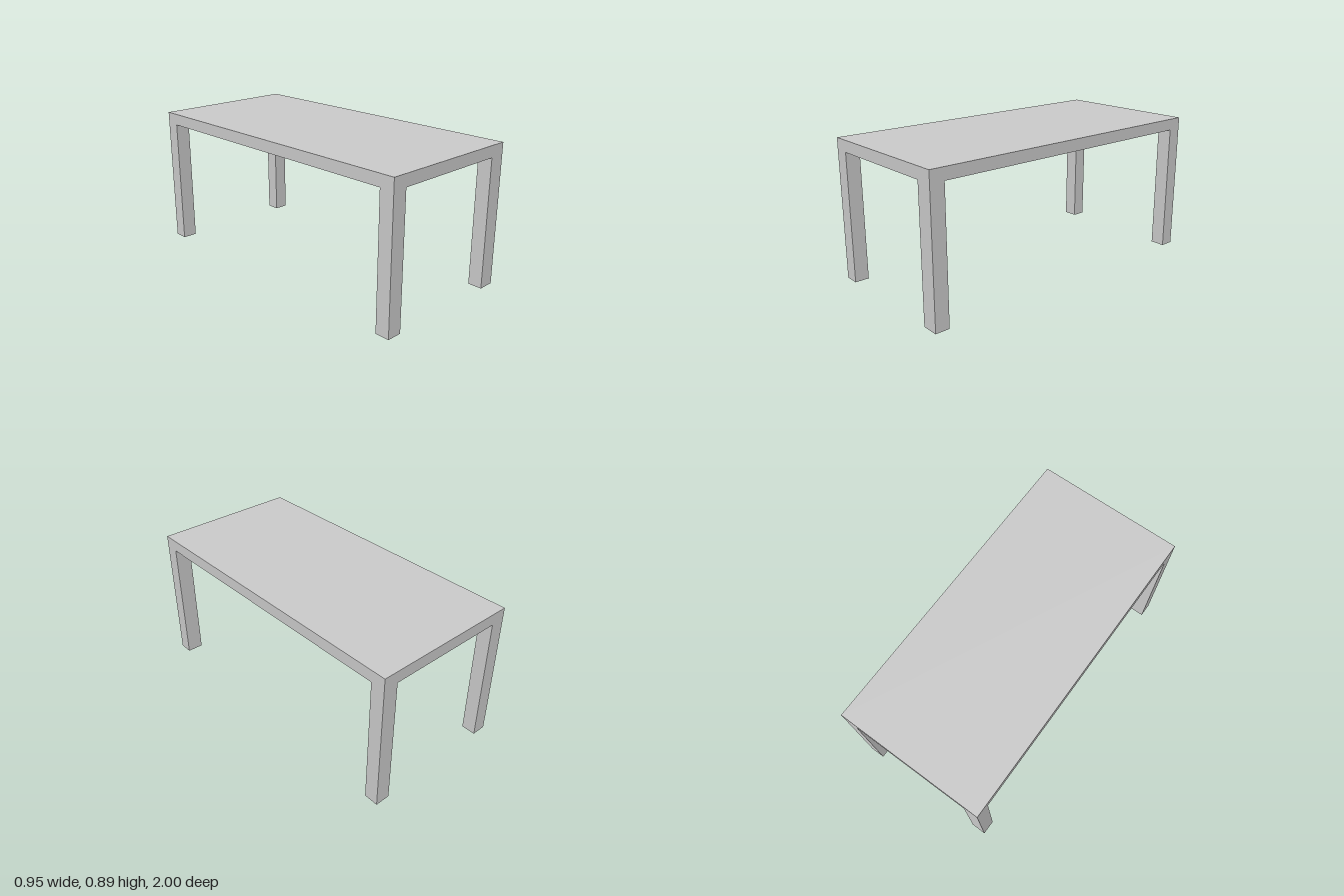
import * as THREE from 'three';

const HALF_W = 0.475, HALF_L = 1, HEIGHT = 0.89, TOP_Y = 0.817;
const LEG_DEPTH = 0.09;

export function createModel() {
  const table = new THREE.Group();
  table.name = 'table';
  const material = new THREE.MeshStandardMaterial({ color: 0xcccccc, flatShading: true });

  const addBox = (name, w, h, d, x, y, z) => {
    const mesh = new THREE.Mesh(new THREE.BoxGeometry(w, h, d), material);
    mesh.name = name;
    mesh.position.set(x, y, z);
    table.add(mesh);
  };

  // Flat slab top
  addBox('tableTop', HALF_W * 2, HEIGHT - TOP_Y, HALF_L * 2, 0, (HEIGHT + TOP_Y) / 2, 0);

  // Corner legs, flush with the edges of the top; the front left one is slightly wider
  const legs = [
    ['frontLeftLeg', 1, 1, 0.105],
    ['frontRightLeg', -1, 1, 0.094],
    ['backLeftLeg', 1, -1, 0.094],
    ['backRightLeg', -1, -1, 0.094],
  ];
  for (const [name, sx, sz, width] of legs) {
    addBox(name, width, TOP_Y, LEG_DEPTH,
      sx * (HALF_W - width / 2), TOP_Y / 2, sz * (HALF_L - LEG_DEPTH / 2));
  }
  return table;
}
